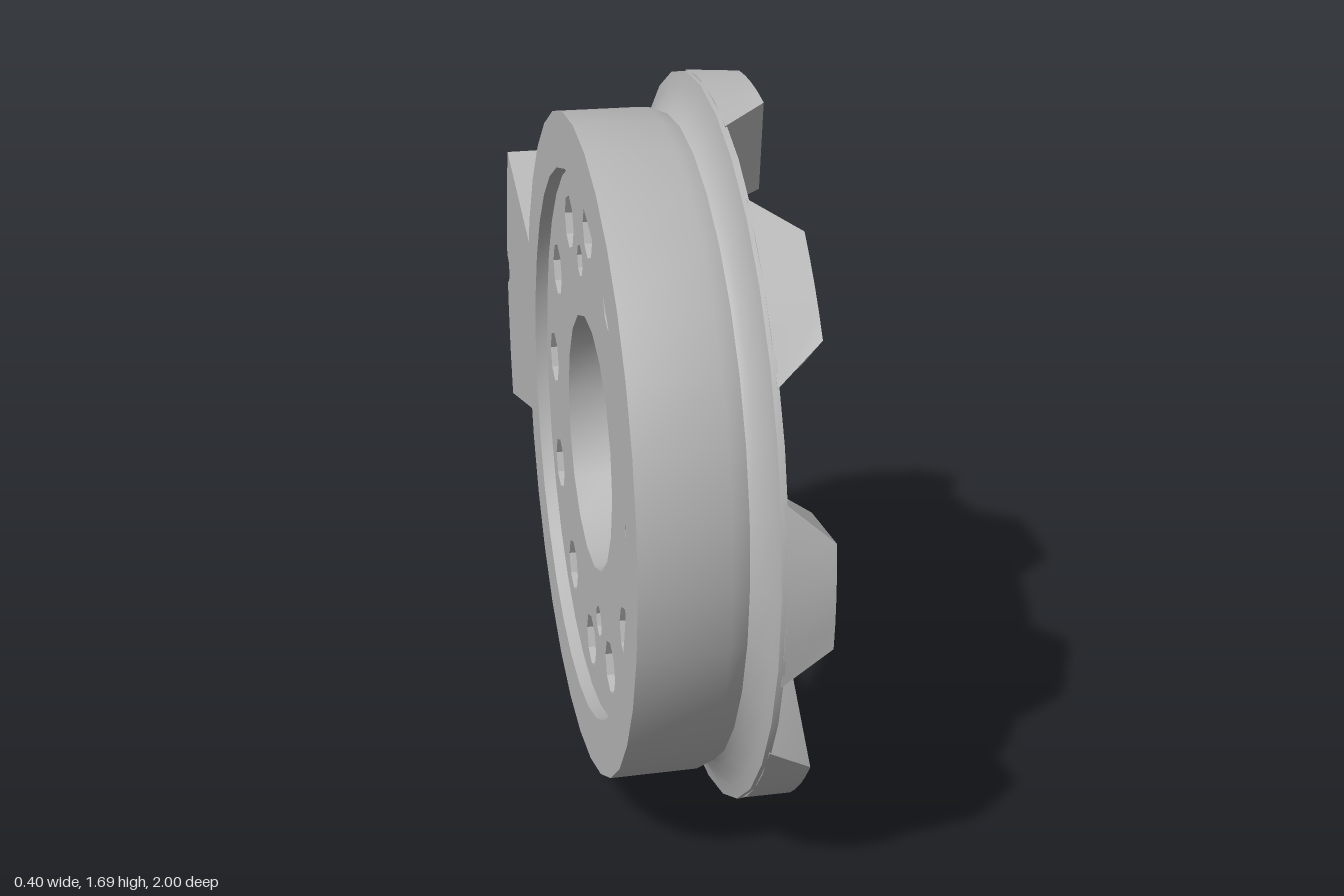
import * as THREE from 'three';
import { toCreasedNormals } from 'three/addons/utils/BufferGeometryUtils.js';

const DEG = Math.PI / 180;
const polar = (r, a) => new THREE.Vector2(r * Math.cos(a), r * Math.sin(a));

// Points of a regular polygon
const ring = (x, y, r, n) =>
  Array.from({ length: n }, (_, i) => polar(r, (i / n) * 2 * Math.PI).add(new THREE.Vector2(x, y)));

// Outline of an annular sector centred on angle 0
function sector(r0, r1, half, n = 4) {
  const angles = Array.from({ length: n + 1 }, (_, i) => -half + (2 * half * i) / n);
  return [...angles.map(a => polar(r1, a)), ...angles.reverse().map(a => polar(r0, a))];
}

// Extrude an outline with holes from depth z0 to z1
function slab(outline, holes, z0, z1, steps = 1) {
  const shape = new THREE.Shape(outline);
  shape.holes = holes.map(h => new THREE.Path(h));
  const geo = new THREE.ExtrudeGeometry(shape, { depth: z1 - z0, steps, bevelEnabled: false });
  return geo.translate(0, 0, z0);
}

// Move every vertex by a rule
function bend(geo, rule) {
  const p = geo.attributes.position;
  const v = new THREE.Vector3();
  for (let i = 0; i < p.count; i++) {
    rule(v.fromBufferAttribute(p, i));
    p.setXYZ(i, v.x, v.y, v.z);
  }
  return geo;
}

export function createModel() {
  const metal = new THREE.MeshStandardMaterial({ color: 0xb8b8b8 });
  metal.name = 'grey metal';

  // Built facing +z, then turned so that the axle runs along x
  const model = new THREE.Group();
  model.name = 'toothedHub';
  const hub = new THREE.Group();
  hub.name = 'hub';
  hub.rotation.y = Math.PI / 2;
  hub.position.set(0, 0.845, 0.155);
  model.add(hub);

  const add = (name, geo, crease = 0.6) => {
    const mesh = new THREE.Mesh(toCreasedNormals(geo, crease), metal);
    mesh.name = name;
    hub.add(mesh);
    return mesh;
  };

  // Drum with back rim, shallow groove and front flange
  const profile = [
    [0.64, -0.165], [0.64, -0.2], [0.77, -0.2], [0.768, 0], [0.752, 0.04], [0.765, 0.055],
    [0.815, 0.078], [0.845, 0.085], [0.845, 0.1], [0.635, 0.1], [0.635, 0.065],
  ].map(([r, z]) => new THREE.Vector2(r, z));
  add('drum', new THREE.LatheGeometry(profile, 32).rotateX(Math.PI / 2));

  // Web plate in two layers; the back one also has two blind pin holes
  const holes = [ring(0, 0, 0.3, 18)];
  for (let i = 0; i < 12; i++) {
    const c = polar(0.52, i * 30 * DEG);
    holes.push(ring(c.x, c.y, 0.064, 8));
  }
  const pins = [1, -1].map(s => ring(s * 0.11, s * 0.41, 0.038, 8));
  add('frontPlate', slab(ring(0, 0, 0.645, 32), holes, -0.07, 0.07));
  add('backPlate', slab(ring(0, 0, 0.645, 32), [...holes, ...pins], -0.17, -0.07));

  // Eight tapered teeth; the top and bottom ones carry a pin hole
  const pinRadius = 0.71;
  for (let i = 0; i < 8; i++) {
    const hole = i % 4 === 2 ? [ring(pinRadius, 0, 0.048, 6)] : [];
    const geo = bend(slab(sector(0.635, 0.845, 14.6 * DEG), hole, 0.095, 0.2), v => {
      const inHole = hole.length && Math.hypot(v.x - pinRadius, v.y) < 0.055;
      if (v.z < 0.15 || inHole) return;
      const q = polar(Math.hypot(v.x, v.y), Math.atan2(v.y, v.x) * 0.57);
      v.set(q.x, q.y, v.z);
    });
    add('tooth', geo.rotateZ(i * 45 * DEG));
  }

  // Fan-shaped tab with a small round notch in its outer edge
  const half = 17.5 * DEG;
  const notch = [[1.155, -0.04], [1.13, -0.03], [1.118, 0], [1.13, 0.03], [1.155, 0.04]]
    .map(([x, y]) => new THREE.Vector2(x, y));
  const tab = [
    ...[-1, -0.66, -0.33].map(t => polar(1.155, t * half)),
    ...notch,
    ...[0.33, 0.66, 1].map(t => polar(1.155, t * half)),
    ...[1, 0.5, 0, -0.5, -1].map(t => polar(0.72, t * half)),
  ];
  add('tab', slab(tab, [], -0.2, -0.06));

  // Concave fillet between the tab and the drum
  add('tabFillet', bend(slab(sector(0.7, 0.81, half), [], -0.065, 0.02, 4), v => {
    if (Math.hypot(v.x, v.y) < 0.75) return;
    const t = (v.z + 0.065) / 0.085;
    const q = polar(0.76 + 0.06 * (1 - t) ** 2, Math.atan2(v.y, v.x));
    v.set(q.x, q.y, v.z);
  }));

  return model;
}
